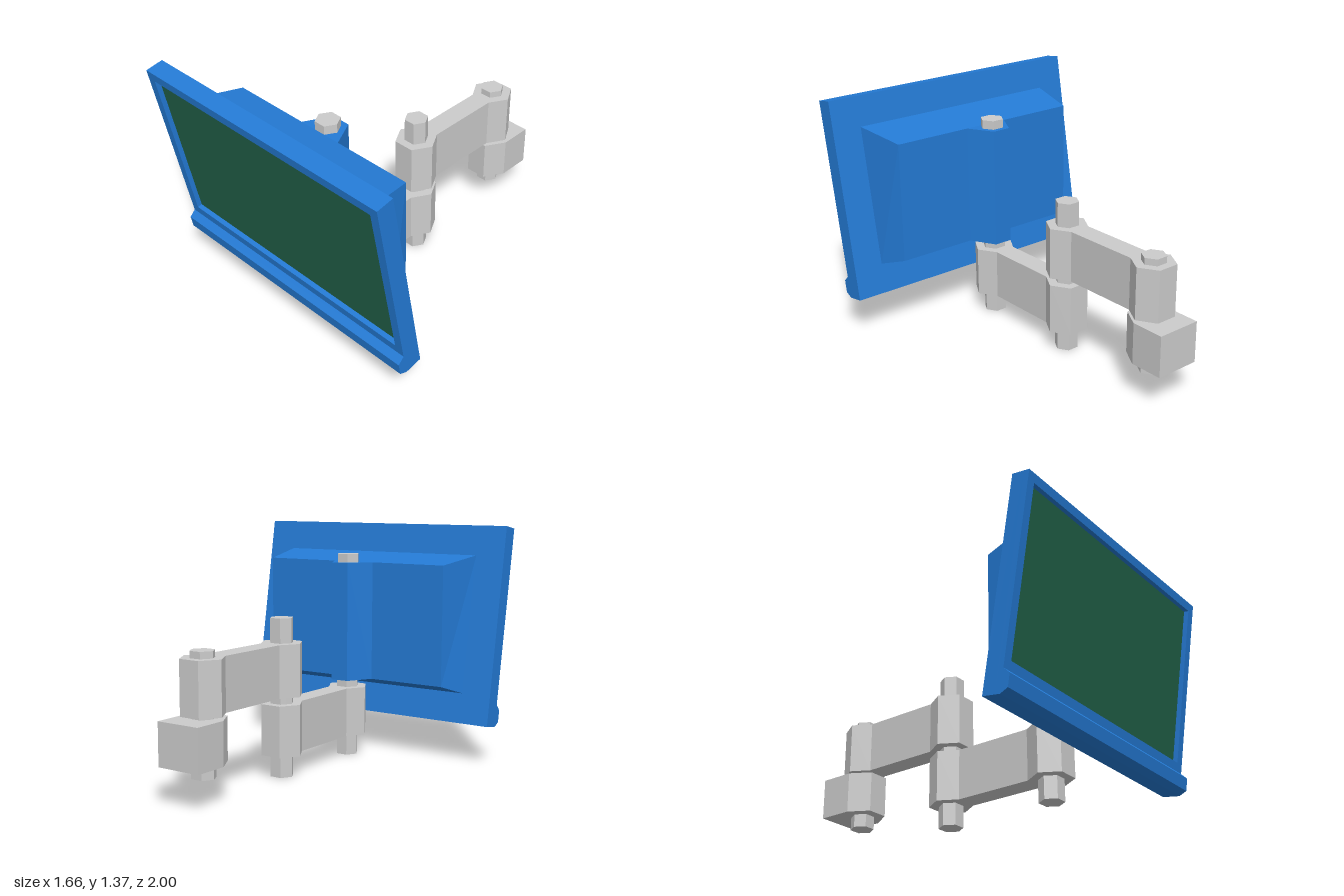
import * as THREE from 'three';

const grey = new THREE.MeshStandardMaterial({ color: 0xcccccc, flatShading: true });
const blue = new THREE.MeshStandardMaterial({ color: 0x247bd6, flatShading: true });
const green = new THREE.MeshStandardMaterial({ color: 0x22634a, flatShading: true });

function add(parent, name, geometry, material) {
  const mesh = new THREE.Mesh(geometry, material);
  mesh.name = name;
  parent.add(mesh);
  return mesh;
}

// Prism with a plan symmetric in x: half outline as [x, z], from y0 to y1
function planPrism(half, y0, y1) {
  const right = half.map(([x, z]) => new THREE.Vector2(x, -z));
  const left = half.map(([x, z]) => new THREE.Vector2(-x, -z)).reverse();
  const geometry = new THREE.ExtrudeGeometry(new THREE.Shape([...right, ...left]), { depth: y1 - y0, bevelEnabled: false });
  return geometry.rotateX(-Math.PI / 2).translate(0, y0, 0);
}

// Arm: narrow bar with a hexagonal knuckle at each end
function armGeometry(zFront, zBack, y0, y1) {
  const r = 0.105, wide = 0.123, neck = 0.062;
  return planPrism([
    [neck, zFront + r], [wide, zFront], [neck, zFront - r],
    [neck, zBack + r], [wide, zBack], [neck, zBack - r],
  ], y0, y1);
}

function rectPath(PathType, x, y0, y1) {
  return new PathType([[-x, y0], [x, y0], [x, y1], [-x, y1]].map(([a, b]) => new THREE.Vector2(a, b)));
}

export function createModel() {
  const model = new THREE.Group();
  model.name = 'monitorOnArm';

  // Wall bracket and the two swinging arms
  add(model, 'wallBracket', planPrism([[0.13, -1], [0.13, -0.805], [0.062, -0.69]], 0.205, 0.44), grey);
  add(model, 'upperArm', armGeometry(-0.143, -0.806, 0.455, 0.748), grey);
  add(model, 'lowerArm', armGeometry(0.518, -0.143, 0.125, 0.412), grey);

  // Hexagonal hinge pins
  const pins = [
    ['frontPin', 0.516, 0, 1.2],
    ['middlePin', -0.143, 0, 0.885],
    ['wallPin', -0.806, 0.13, 0.785],
  ];
  for (const [name, z, y0, y1] of pins) {
    const pin = new THREE.CylinderGeometry(0.068, 0.068, y1 - y0, 6);
    add(model, name, pin.rotateY(Math.PI / 6).translate(0, (y0 + y1) / 2, z), grey);
  }

  // Hinge sleeve on the rear housing
  add(model, 'hingeSleeve', planPrism([[0.133, 0.575], [0.055, 0.427]], 0.455, 1.15), blue);

  // Rear housing: a box with its corners moved to taper towards the back
  const housing = new THREE.BoxGeometry(1, 1, 1);
  const p = housing.attributes.position;
  for (let i = 0; i < p.count; i++) {
    const top = p.getY(i) > 0, front = p.getZ(i) > 0, side = Math.sign(p.getX(i));
    if (front) p.setXYZ(i, side * 0.655, top ? 1.195 : 0.4, top ? 0.875 : 0.737);
    else p.setXYZ(i, side * 0.6, top ? 1.15 : 0.455, 0.575);
  }
  housing.computeVertexNormals();
  add(model, 'rearHousing', housing, blue);

  // Tilted display, built upright from its bottom front edge
  const display = new THREE.Group();
  display.name = 'display';
  display.position.set(0, 0.21, 0.81);
  display.rotation.x = 0.166;
  model.add(display);

  const halfW = 0.83, height = 1.156, thick = 0.102, recess = 0.03;
  const backDepth = thick - recess;
  add(display, 'displayBack',
    new THREE.BoxGeometry(halfW * 2, height, backDepth).translate(0, height / 2, -recess - backDepth / 2), blue);

  // Bezel with a sunken screen
  const bezel = rectPath(THREE.Shape, halfW, 0, height);
  bezel.holes.push(rectPath(THREE.Path, 0.78, 0.178, 1.105));
  add(display, 'bezel',
    new THREE.ExtrudeGeometry(bezel, { depth: recess, bevelEnabled: false }).translate(0, 0, -recess), blue);
  add(display, 'screen',
    new THREE.PlaneGeometry(1.56, 0.927).translate(0, 0.6415, -recess + 0.002), green);

  // Raised lip along the bottom edge
  const lip = new THREE.Shape([[0, 0], [-0.04, 0.027], [-0.04, 0.098], [0, 0.127]].map(([a, b]) => new THREE.Vector2(a, b)));
  add(display, 'bottomLip',
    new THREE.ExtrudeGeometry(lip, { depth: halfW * 2, bevelEnabled: false })
      .rotateY(Math.PI / 2).translate(-halfW, 0, 0), blue);

  return model;
}
